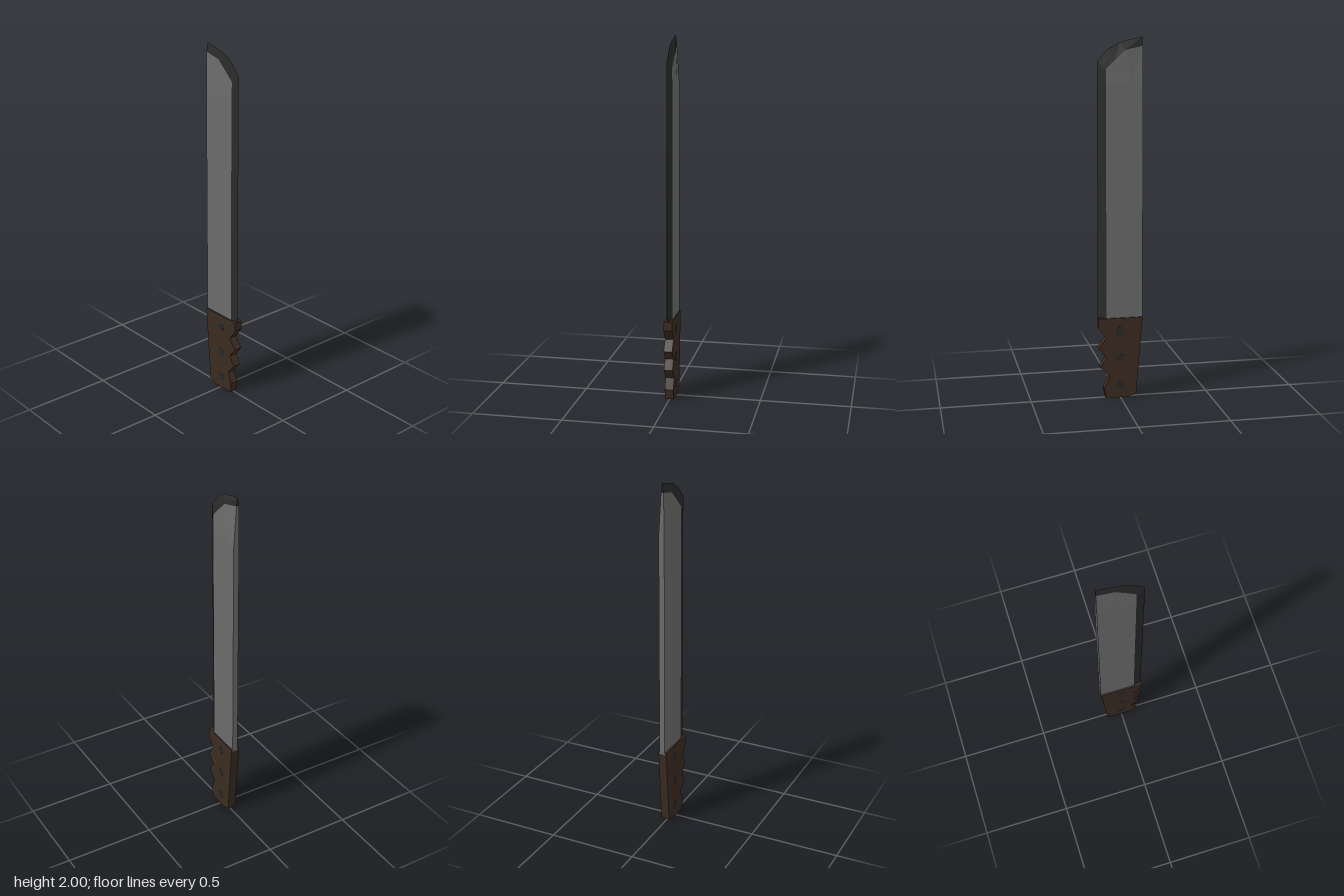
import * as THREE from 'three';

const steel = new THREE.MeshStandardMaterial({ color: 0x6c6c6c, name: 'steel', flatShading: true });
const darkSteel = new THREE.MeshStandardMaterial({ color: 0x2a2a2b, name: 'dark steel', flatShading: true });
const wood = new THREE.MeshStandardMaterial({ color: 0x3b2b21, name: 'brown wood', flatShading: true });

// Mesh from convex polygons, each a list of corners; flip reverses the winding
function polyMesh(name, material, polys) {
  const pos = [];
  for (const { pts, flip } of polys) {
    for (let i = 1; i < pts.length - 1; i++) {
      const tri = flip ? [pts[0], pts[i + 1], pts[i]] : [pts[0], pts[i], pts[i + 1]];
      pos.push(...tri.flat());
    }
  }
  const g = new THREE.BufferGeometry();
  g.setAttribute('position', new THREE.Float32BufferAttribute(pos, 3));
  g.computeVertexNormals();
  const m = new THREE.Mesh(g, material);
  m.name = name;
  return m;
}

function createBlade() {
  const blade = new THREE.Group();
  blade.name = 'blade';
  const edgeZ = 0.005, spineX = -0.125, base = 0.45;
  // Sharp outer edge, and the line where the flat meets the bevel
  const outer = [[0.123, base], [0.123, 1.75], [0.123, 1.87], [0.06, 1.935], [0, 1.97], [spineX, 2]];
  const inner = [[0.078, base], [0.078, 1.75], [0.078, 1.83], [0.03, 1.875], [-0.03, 1.93], [spineX, 1.95]];
  const flats = [], bevels = [], spines = {};

  for (const side of [1, -1]) {
    const flip = side < 0;
    const z = side > 0 ? 0.015 : -0.017;
    const tipZ = side > 0 ? 0.012 : -0.014;
    const O = outer.map(([x, y]) => [x, y, edgeZ]);
    const I = inner.map(([x, y], i) => [x, y, i < 2 ? z : tipZ]);
    if (flip) I[5][2] = -0.002;
    const bottom = [spineX, base, z];
    const shoulder = [spineX, flip ? 1.72 : 1.75, z];
    const knee = [-0.06, 1.75, z];

    flats.push({ pts: [bottom, I[0], I[1], knee, shoulder], flip });
    flats.push({ pts: [knee, ...I.slice(1)], flip });
    flats.push({ pts: [shoulder, knee, I[5]], flip });
    for (let i = 0; i < 5; i++) bevels.push({ pts: [I[i], O[i], O[i + 1], I[i + 1]], flip });
    spines[side] = [bottom, shoulder, I[5]];
  }

  // Thick back of the blade, closing to the point
  const [f, b] = [spines[1], spines[-1]];
  for (let i = 0; i < 2; i++) flats.push({ pts: [b[i], f[i], f[i + 1], b[i + 1]] });
  bevels.push({ pts: [b[2], f[2], [spineX, 2, edgeZ]] });

  blade.add(polyMesh('bladeFlats', steel, flats), polyMesh('cuttingEdge', darkSteel, bevels));
  return blade;
}

function createHandle() {
  const handle = new THREE.Group();
  handle.name = 'handle';
  // Grip outline with finger notches
  const outline = [
    [-0.125, 0.46], [-0.09, 0.02], [-0.04, 0], [0.083, 0.003], [0.092, 0.06], [0.062, 0.12],
    [0.113, 0.18], [0.08, 0.235], [0.123, 0.29], [0.08, 0.348], [0.125, 0.41], [0.125, 0.46],
  ];
  const shape = new THREE.Shape(outline.map(([x, y]) => new THREE.Vector2(x, y)));
  const geo = new THREE.ExtrudeGeometry(shape, { depth: 0.048, bevelEnabled: false });
  geo.translate(0, 0, -0.024);
  const grip = new THREE.Mesh(geo, wood);
  grip.name = 'grip';
  handle.add(grip);

  // Rivets pass right through the grip
  const rivetGeo = new THREE.CylinderGeometry(0.025, 0.025, 0.05, 8).rotateX(Math.PI / 2);
  for (const y of [0.07, 0.228, 0.386]) {
    const rivet = new THREE.Mesh(rivetGeo, darkSteel);
    rivet.name = 'rivet';
    rivet.position.y = y;
    handle.add(rivet);
  }
  return handle;
}

export function createModel() {
  const model = new THREE.Group();
  model.name = 'machete';
  model.add(createBlade(), createHandle());
  return model;
}
